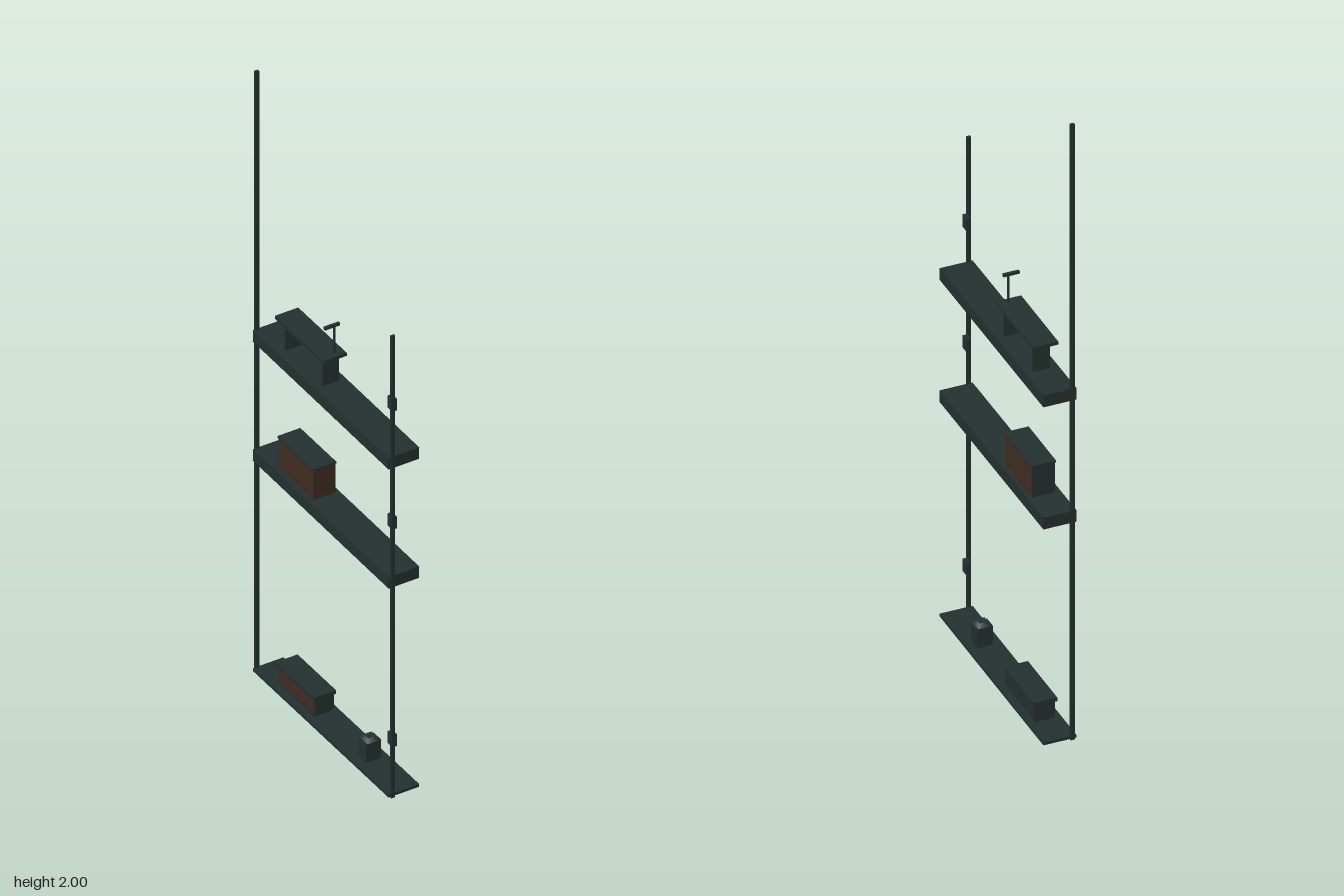
import * as THREE from 'three';

export function createModel() {
  const model = new THREE.Group();
  const slate = new THREE.MeshStandardMaterial({ color: 0x243030 });
  slate.name = 'dark slate';
  const brown = new THREE.MeshStandardMaterial({ color: 0x3f2c22 });
  brown.name = 'dark brown';

  // box given by its minimum and maximum on each axis
  function box(name, mat, [x0, x1], [y0, y1], [z0, z1], parent = model) {
    const mesh = new THREE.Mesh(new THREE.BoxGeometry(x1 - x0, y1 - y0, z1 - z0), mat);
    mesh.position.set((x0 + x1) / 2, (y0 + y1) / 2, (z0 + z1) / 2);
    mesh.name = name;
    parent.add(mesh);
    return mesh;
  }
  function group(name) {
    const g = new THREE.Group();
    g.name = name;
    model.add(g);
    return g;
  }

  // uprights of unequal height
  box('frontPost', slate, [-0.044, -0.032], [0, 1.54], [0.348, 0.355]);
  box('backPost', slate, [-0.044, -0.032], [0, 2], [-0.356, -0.348]);

  // base plate and two very slightly sloping shelves
  box('basePlate', slate, [-0.05, 0.048], [0.003, 0.012], [-0.353, 0.351]);
  for (const [name, y] of [['middleShelf', 0.721], ['upperShelf', 1.118]]) {
    const shelf = box(name, slate, [-0.05, 0.048], [y - 0.019, y + 0.019], [-0.353, 0.351]);
    shelf.rotation.x = 0.007;
  }

  // small tags beside the front post
  for (const y of [0.168, 0.894, 1.287]) {
    box('tag', slate, [-0.025, -0.011], [y - 0.02, y + 0.02], [0.305, 0.33]);
  }

  // bench with a T-shaped stand
  const bench = group('bench');
  box('benchTop', slate, [-0.037, 0.038], [1.228, 1.238], [-0.26, -0.008], bench);
  for (const z of [-0.033, -0.228]) {
    box('benchLeg', slate, [-0.025, 0.026], [1.13, 1.228], [z - 0.004, z + 0.004], bench);
  }
  box('standPole', slate, [0.007, 0.012], [1.238, 1.328], [-0.029, -0.024], bench);
  box('standBar', slate, [-0.023, 0.025], [1.326, 1.334], [-0.031, -0.022], bench);

  // brown chest with a dark lid and end panel
  const chest = group('chest');
  box('chestBody', brown, [-0.034, 0.035], [0.735, 0.838], [-0.242, -0.063], chest);
  box('chestEnd', slate, [-0.034, 0.035], [0.735, 0.838], [-0.246, -0.242], chest);
  box('chestLid', slate, [-0.036, 0.037], [0.838, 0.844], [-0.248, -0.061], chest);

  // low cabinet on the base with a brown back
  const cabinet = group('cabinet');
  box('cabinetPlinth', slate, [-0.028, 0.028], [0.012, 0.022], [-0.25, -0.07], cabinet);
  box('cabinetBody', slate, [-0.028, 0.032], [0.022, 0.07], [-0.256, -0.064], cabinet);
  box('cabinetBack', brown, [-0.031, -0.028], [0.022, 0.068], [-0.25, -0.07], cabinet);
  box('cabinetLid', slate, [-0.034, 0.036], [0.07, 0.082], [-0.26, -0.061], cabinet);

  // little canister with a tapered cap
  const canister = group('canister');
  box('canisterBody', slate, [-0.023, 0.025], [0.012, 0.073], [0.151, 0.191], canister);
  const cap = new THREE.Mesh(
    new THREE.CylinderGeometry(0.017, 0.028, 0.012, 4, 1).rotateY(Math.PI / 4), slate);
  cap.name = 'canisterCap';
  cap.position.set(0.001, 0.079, 0.171);
  canister.add(cap);

  return model;
}
